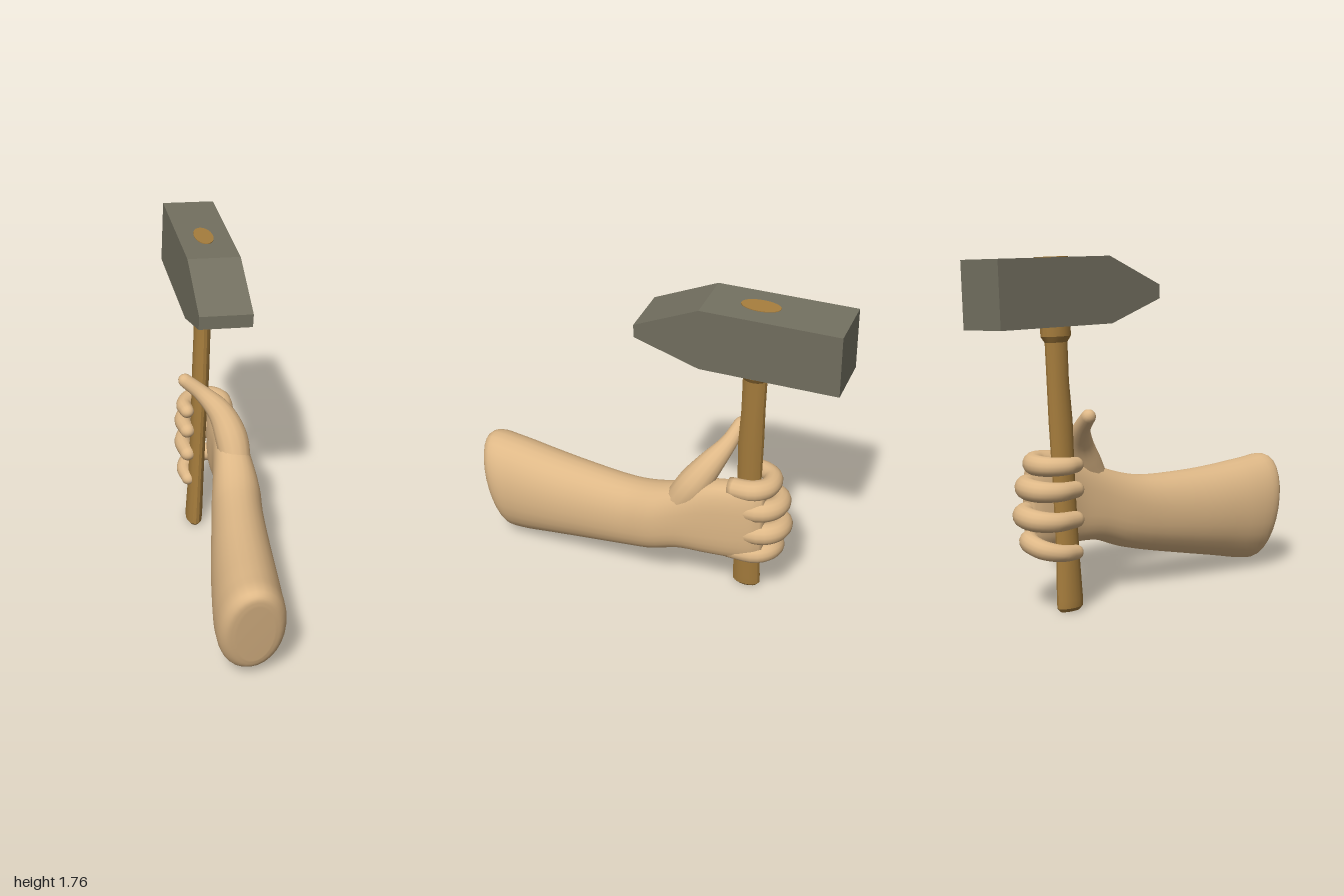
import * as THREE from 'three';
import { toCreasedNormals } from 'three/addons/utils/BufferGeometryUtils.js';

const V = (x, y, z) => new THREE.Vector3(x, y, z);

// Closed skin over a list of rings (equal point counts), capped at both ends
function loft(rings) {
  const n = rings[0].length, pos = [], idx = [];
  rings.forEach(r => r.forEach(p => pos.push(p.x, p.y, p.z)));
  for (let i = 0; i < rings.length - 1; i++) {
    for (let j = 0; j < n; j++) {
      const a = i * n + j, b = i * n + (j + 1) % n;
      idx.push(a, b, a + n, b, b + n, a + n);
    }
  }
  [0, rings.length - 1].forEach((k, end) => {
    const c = rings[k].reduce((s, p) => s.add(p), V(0, 0, 0)).divideScalar(n);
    const ci = pos.length / 3;
    pos.push(c.x, c.y, c.z);
    for (let j = 0; j < n; j++) {
      const a = k * n + j, b = k * n + (j + 1) % n;
      end ? idx.push(ci, a, b) : idx.push(ci, b, a);
    }
  });
  // Turn the faces outwards if the enclosed volume is negative
  let vol = 0;
  const at = i => V(pos[3 * i], pos[3 * i + 1], pos[3 * i + 2]);
  for (let i = 0; i < idx.length; i += 3) vol += at(idx[i]).dot(at(idx[i + 1]).cross(at(idx[i + 2])));
  if (vol < 0) idx.reverse();
  const g = new THREE.BufferGeometry();
  g.setAttribute('position', new THREE.Float32BufferAttribute(pos, 3));
  g.setIndex(idx);
  g.computeVertexNormals();
  return g;
}

// Extra rings by a smooth curve through each column of points
function smoothRings(rings, steps) {
  const cols = rings[0].map((_, j) => new THREE.CatmullRomCurve3(rings.map(r => r[j])));
  return Array.from({ length: steps + 1 }, (_, i) => cols.map(c => c.getPoint(i / steps)));
}

// Rounded limb along a path, with its radius varying from point to point
function limb(points, radii, sides = 14, steps = 24) {
  const curve = new THREE.CatmullRomCurve3(points);
  const rad = new THREE.CatmullRomCurve3(radii.map((r, i) => V(i, r, 0)));
  const frames = [];
  let side = null;
  for (let i = 0; i <= steps; i++) {
    const t = i / steps, tan = curve.getTangent(t);
    side = (side || V(0.1, 0.9, 0.3)).clone().addScaledVector(tan, -(side || V(0.1, 0.9, 0.3)).dot(tan)).normalize();
    frames.push({ c: curve.getPoint(t), r: rad.getPoint(t).y, u: side, v: tan.clone().cross(side), tan });
  }
  const last = frames[steps];
  for (const a of [0.35, 0.7, 1.05, 1.35]) {
    frames.push({ ...last, c: last.c.clone().addScaledVector(last.tan, last.r * Math.sin(a)), r: last.r * Math.cos(a) });
  }
  return loft(frames.map(f => Array.from({ length: sides }, (_, j) => {
    const a = j / sides * Math.PI * 2;
    return f.c.clone().addScaledVector(f.u, f.r * Math.cos(a)).addScaledVector(f.v, f.r * Math.sin(a));
  })));
}

export function createModel() {
  const model = new THREE.Group();
  const material = (name, color) => Object.assign(new THREE.MeshStandardMaterial({ color }), { name });
  const skin = material('skin', 0xdeb887);
  const wood = material('wood', 0xa67d3d);
  const steel = material('steel', 0x737060);
  const add = (parent, name, geo, mat) => {
    const m = new THREE.Mesh(geo, mat);
    m.name = name;
    parent.add(m);
    return m;
  };

  // Forearm and palm: z, x range, y range, lean of the ring, squareness
  const sections = [
    [0.955, -0.13, 0.06, 0.13, 0.53, 0.22, 2],
    [0.945, -0.18, 0.10, 0.08, 0.585, 0.22, 2],
    [0.905, -0.208, 0.128, 0.045, 0.614, 0.2, 2.1],
    [0.8, -0.212, 0.142, 0.047, 0.608, 0.1, 2.1],
    [0.6, -0.185, 0.158, 0.085, 0.592, 0.03, 2.1],
    [0.4, -0.15, 0.17, 0.125, 0.585, 0, 2.1],
    [0.1, -0.09, 0.19, 0.19, 0.593, 0, 2.2],
    [-0.05, -0.06, 0.207, 0.23, 0.625, 0, 2.3],
    [-0.2, -0.025, 0.198, 0.285, 0.68, 0, 2.5],
    [-0.35, 0.0, 0.185, 0.298, 0.74, 0, 2.8],
    [-0.5, 0.0, 0.165, 0.3, 0.762, 0, 2.8],
    [-0.6, 0.015, 0.145, 0.31, 0.765, 0, 2.6],
    [-0.65, 0.035, 0.115, 0.34, 0.74, 0, 2.4],
  ];
  const armRings = sections.map(([z, x0, x1, y0, y1, lean, e]) => Array.from({ length: 28 }, (_, j) => {
    const a = j / 28 * Math.PI * 2, c = Math.cos(a), s = Math.sin(a);
    const dx = Math.sign(c) * Math.abs(c) ** (2 / e) * (x1 - x0) / 2;
    const dy = Math.sign(s) * Math.abs(s) ** (2 / e) * (y1 - y0) / 2;
    return V((x0 + x1) / 2 + dx, (y0 + y1) / 2 + dy, z + dy * lean);
  }));
  add(model, 'forearmAndPalm', loft(smoothRings(armRings, 48)), skin);

  // Thumb pointing up across the handle
  add(model, 'thumb', limb(
    [V(0.1, 0.54, -0.17), V(0.09, 0.69, -0.26), V(0.045, 0.81, -0.335), V(-0.045, 0.905, -0.4), V(-0.13, 0.975, -0.432)],
    [0.08, 0.088, 0.07, 0.045, 0.037]), skin);

  // Fingers curling round the handle: height, furthest z, radius, drop at the tip
  const fingers = new THREE.Group();
  fingers.name = 'fingers';
  model.add(fingers);
  [['index', 0.742, -0.7, 0.052, 0], ['middle', 0.628, -0.75, 0.056, 0.01],
    ['ring', 0.488, -0.765, 0.056, 0.02], ['little', 0.352, -0.727, 0.05, 0.05]].forEach(([name, y, zOut, r, drop]) => {
    const z = zOut + r;
    add(fingers, name + 'Finger', limb(
      [V(0.09, y - 0.01, -0.46), V(0.09, y, z + 0.06), V(0.03, y, z), V(-0.06, y - drop * 0.4, z + 0.005),
        V(-0.115, y - drop * 0.8, z + 0.08), V(-0.11, y - drop, -0.5)],
      [r, r * 1.05, r, r * 0.95, r * 0.85, r * 0.75]), skin);
  });

  // Handle: height, centre x, centre z, half width, half depth
  const handleRings = [
    [0.004, -0.08, -0.515, 0.03, 0.06], [0.022, -0.079, -0.514, 0.044, 0.076], [0.06, -0.077, -0.514, 0.046, 0.077],
    [0.3, -0.063, -0.514, 0.042, 0.067], [0.65, -0.044, -0.52, 0.042, 0.064], [0.95, -0.029, -0.525, 0.046, 0.068],
    [1.15, -0.019, -0.533, 0.045, 0.062], [1.34, -0.013, -0.537, 0.046, 0.063], [1.37, -0.012, -0.538, 0.064, 0.083],
    [1.5, -0.008, -0.54, 0.064, 0.085],
  ].map(([y, cx, cz, rx, rz]) => Array.from({ length: 16 }, (_, j) => {
    const a = j / 16 * Math.PI * 2;
    return V(cx + rx * Math.cos(a), y - 0.05 * rx * Math.cos(a), cz + rz * Math.sin(a));
  }));
  add(model, 'handle', toCreasedNormals(loft(handleRings), 0.45), wood);

  // Hammer head: side profile pulled across the width
  const head = new THREE.Group();
  head.name = 'hammerHead';
  head.position.set(-0.006, 1.585, -0.5);
  head.rotation.set(0, 0.012, -0.05);
  model.add(head);
  const profile = new THREE.Shape([[-0.548, -0.06], [-0.21, -0.167], [0.498, -0.16], [0.498, 0.17], [-0.21, 0.164], [-0.548, 0.01]]
    .map(([x, y]) => new THREE.Vector2(x, y)));
  const block = new THREE.ExtrudeGeometry(profile, { depth: 0.274, bevelEnabled: false });
  block.translate(0, 0, -0.137).rotateY(Math.PI / 2);
  add(head, 'headBlock', block, steel);

  // Handle end showing on top of the head
  const eye = new THREE.CylinderGeometry(1, 1, 0.008, 28).scale(0.05, 1, 0.1);
  add(head, 'handleEnd', eye, wood).position.set(-0.003, 0.166, -0.055);

  return model;
}
